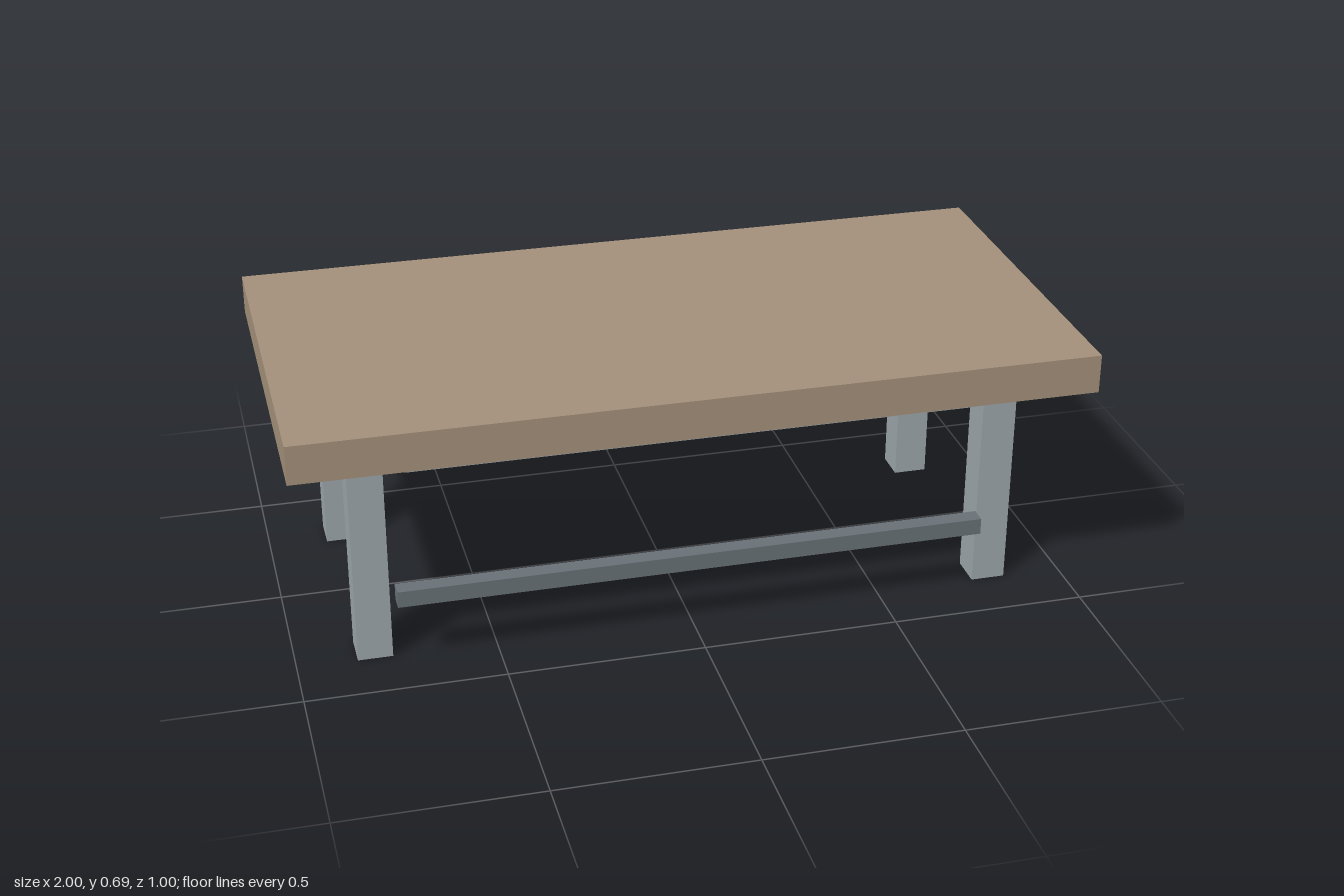
import * as THREE from 'three';

const material = (name, color) => {
  const m = new THREE.MeshStandardMaterial({ color });
  m.name = name;
  return m;
};

export function createModel() {
  const wood = material('wood', 0xa3907a);
  const steel = material('lightSteel', 0x9da6ab);
  const darkSteel = material('darkSteel', 0x687076);
  const table = new THREE.Group();
  table.name = 'workTable';

  // Box given by its centre in x and z, and by its bottom height
  const addBox = (name, mat, [w, h, d], [x, bottom, z]) => {
    const mesh = new THREE.Mesh(new THREE.BoxGeometry(w, h, d), mat);
    mesh.name = name;
    mesh.position.set(x, bottom + h / 2, z);
    table.add(mesh);
  };

  // Thick wooden top
  addBox('tableTop', wood, [2, 0.1, 1], [0, 0.59, 0]);

  // Four square legs
  for (const [side, sx] of [['Left', 1], ['Right', -1]]) {
    for (const [end, sz] of [['front', 1], ['back', -1]]) {
      addBox(`${end}${side}Leg`, steel, [0.088, 0.59, 0.088], [sx * 0.805, 0, sz * 0.305]);
    }
  }

  // Slim strip under the front edge, and the foot rail ahead of the legs
  addBox('underStrip', steel, [1.44, 0.027, 0.034], [0, 0.563, 0.435]);
  addBox('footRail', darkSteel, [1.5, 0.043, 0.043], [0, 0.174, 0.39]);

  return table;
}
